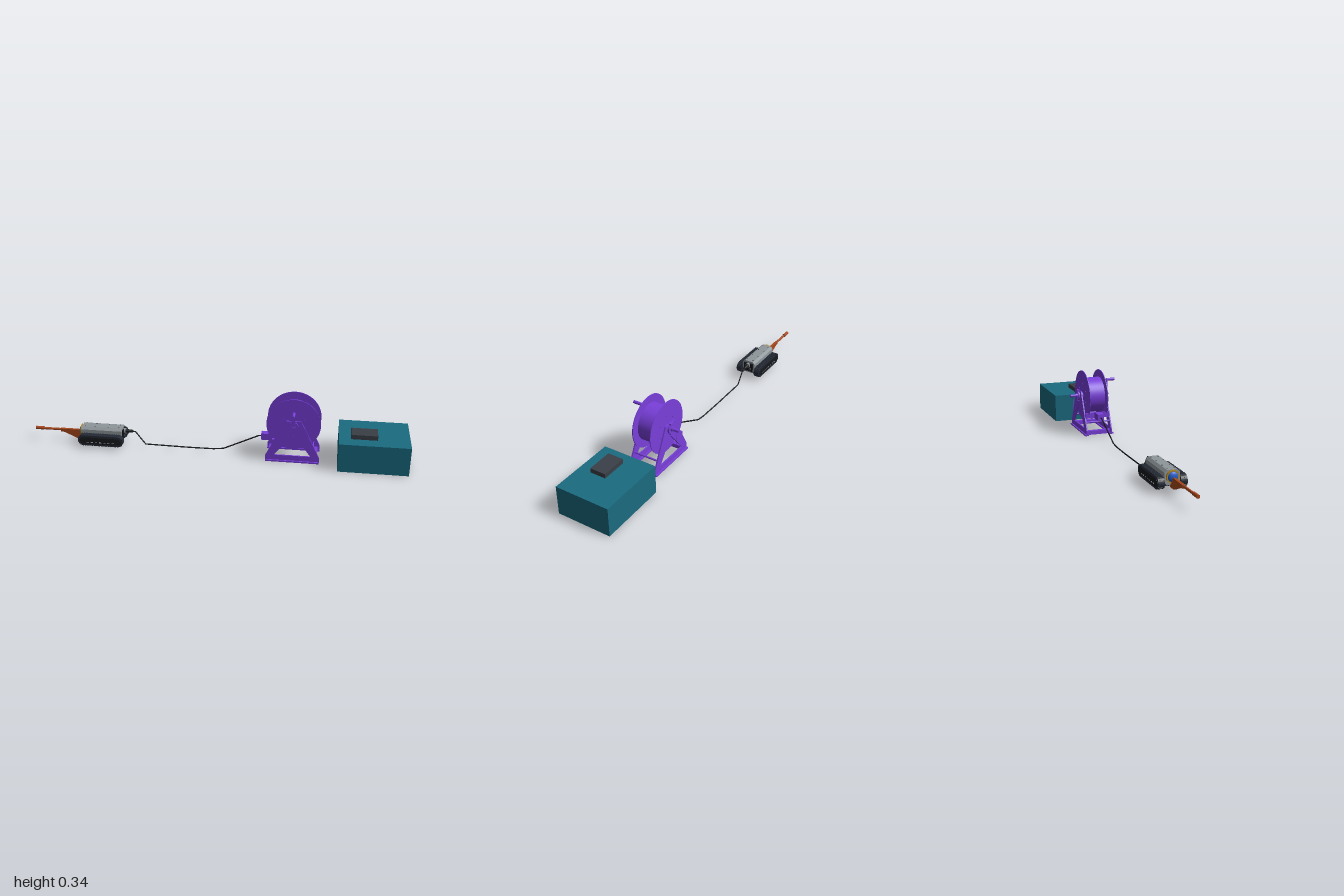
import * as THREE from 'three';

const mat = (color) => new THREE.MeshStandardMaterial({ color });
const M = {
  teal: mat(0x1a6b80), slate: mat(0x3a3f47), purple: mat(0x7a3fdc), steel: mat(0x8f979b),
  track: mat(0x252b36), black: mat(0x17191d), orange: mat(0xa8481c), gold: mat(0xb88a20),
  blue: mat(0x2460d0), grey: mat(0xcccccc),
};

function add(parent, name, geometry, material, x = 0, y = 0, z = 0) {
  const m = new THREE.Mesh(geometry, material);
  m.name = name;
  m.position.set(x, y, z);
  parent.add(m);
  return m;
}
function group(parent, name) {
  const g = new THREE.Group();
  g.name = name;
  parent.add(g);
  return g;
}
const box = (w, h, d) => new THREE.BoxGeometry(w, h, d);
const cylZ = (r, l, n = 32) => new THREE.CylinderGeometry(r, r, l, n).rotateX(Math.PI / 2);
const cylX = (r, l, n = 24, r2 = r) => new THREE.CylinderGeometry(r, r2, l, n).rotateZ(-Math.PI / 2);
const poly = (pts) => new THREE.Shape(pts.map(([x, y]) => new THREE.Vector2(x, y)));

// Extrusion centred on its own depth
function plate(shape, depth) {
  return new THREE.ExtrudeGeometry(shape, { depth, bevelEnabled: false, curveSegments: 16 })
    .translate(0, 0, -depth / 2);
}
function stadium(length, radius) {
  const h = length / 2 - radius, s = new THREE.Shape();
  s.moveTo(-h, -radius);
  s.lineTo(h, -radius);
  s.absarc(h, 0, radius, -Math.PI / 2, Math.PI / 2, false);
  s.lineTo(-h, radius);
  s.absarc(-h, 0, radius, Math.PI / 2, Math.PI * 1.5, false);
  return s;
}

function buildControlBox(root) {
  const g = group(root, 'controlStation');
  add(g, 'case', box(0.36, 0.156, 0.292), M.teal, 0.82, 0.078, 0);
  add(g, 'handController', box(0.135, 0.024, 0.084), M.slate, 0.768, 0.168, 0.036);
}

function buildReel(root) {
  const g = group(root, 'cableReel'), cx = 0.405, cy = 0.205, p = M.purple;
  add(g, 'drum', cylZ(0.098, 0.1, 64), p, cx, cy, 0);
  add(g, 'axle', cylZ(0.009, 0.2), p, cx, cy, 0);

  // A-shaped side plate with a triangular window
  const side = poly([[-0.14, 0], [0.14, 0], [0.14, 0.03], [0.04, 0.234], [-0.04, 0.234], [-0.14, 0.03]]);
  side.holes.push(poly([[-0.095, 0.036], [0, 0.16], [0.095, 0.036]]));

  for (const s of [1, -1]) {
    add(g, 'flange', cylZ(0.14, 0.004, 64), p, cx, cy, s * 0.051);
    add(g, 'sideFrame', plate(side, 0.007), p, cx, 0, s * 0.072);
    add(g, 'baseRail', box(0.28, 0.008, 0.022), p, cx, 0.004, s * 0.072);
    // Bearing with housing and collars
    add(g, 'bearingHousing', cylZ(0.026, 0.012), p, cx, cy, s * 0.078);
    add(g, 'bearingFoot', box(0.02, 0.064, 0.014), p, cx, cy, s * 0.078);
    add(g, 'innerCollar', cylZ(0.018, 0.008), p, cx, cy, s * 0.058);
    add(g, 'outerCollar', cylZ(0.012, 0.012), p, cx, cy, s * 0.088);
    for (let i = 0; i < 6; i++) {
      const a = Math.PI / 2 + i * Math.PI / 3;
      add(g, 'flangeBolt', cylZ(0.004, 0.004, 8), p,
        cx + 0.064 * Math.cos(a), cy + 0.064 * Math.sin(a), s * 0.054);
    }
  }
  // Cross members between the two side frames
  for (const s of [1, -1]) {
    add(g, 'baseCrossBar', box(0.022, 0.022, 0.144), p, cx + s * 0.118, 0.014, 0);
    add(g, 'legCrossBar', cylZ(0.005, 0.144, 12), p, cx + s * 0.105, 0.07, 0);
  }
  // Crank on the front, cable outlet on the back
  add(g, 'crankArm', plate(stadium(0.1, 0.009), 0.005).rotateZ(Math.PI / 2), p, cx, 0.243, 0.093);
  add(g, 'crankHub', cylZ(0.012, 0.008), p, cx, cy, 0.092);
  add(g, 'crankHandle', cylZ(0.008, 0.047), p, cx, 0.285, 0.1155);
  add(g, 'slipRing', cylZ(0.008, 0.04), p, cx, cy, -0.105);
  add(g, 'slipRingRod', new THREE.CylinderGeometry(0.0015, 0.0015, 0.08, 8), p, cx, 0.164, -0.11);

  // Cable guide in front of the drum
  add(g, 'cableGuide', box(0.06, 0.036, 0.034), p, 0.267, 0.107, 0);
  add(g, 'guideBracket', box(0.012, 0.03, 0.144), p, 0.303, 0.107, 0);
}

function buildCrawler(root) {
  const g = group(root, 'crawler');
  // Chamfered body, section swept along x
  const sec = poly([[-0.026, 0.034], [0.026, 0.034], [0.038, 0.05], [0.038, 0.094],
    [0.025, 0.106], [-0.025, 0.106], [-0.038, 0.094], [-0.038, 0.05]]);
  add(g, 'body', plate(sec, 0.222).rotateY(Math.PI / 2), M.steel, -0.622, 0, 0);
  add(g, 'belly', box(0.2, 0.014, 0.08), M.track, -0.622, 0.034, 0);
  add(g, 'rearCap', box(0.008, 0.05, 0.056), M.black, -0.508, 0.07, 0);
  for (const x of [-0.715, -0.66, -0.59, -0.53]) {
    for (const s of [1, -1]) {
      add(g, 'bodyScrew', new THREE.CylinderGeometry(0.003, 0.003, 0.002, 10), M.slate, x, 0.1065, s * 0.018);
    }
  }

  // Tracks with cleats, road wheels and side slots
  const len = 0.245, r = 0.029, h = len / 2 - r;
  for (const s of [1, -1]) {
    const t = group(g, 'track');
    t.position.set(-0.622, 0.046, s * 0.056);
    add(t, 'belt', plate(stadium(len, r), 0.032), M.track);
    add(t, 'sidePlate', plate(stadium(len - 0.02, r - 0.01), 0.035), M.black);
    const straight = 2 * h, arc = Math.PI * r, total = 2 * (straight + arc), n = 44;
    for (let i = 0; i < n; i++) {
      const d = (i / n) * total;
      let x, y, a;
      if (d < straight) { x = -h + d; y = r; a = 0; }
      else if (d < straight + arc) {
        a = -(d - straight) / r;
        x = h - r * Math.sin(a); y = r * Math.cos(a);
      } else if (d < 2 * straight + arc) { x = h - (d - straight - arc); y = -r; a = 0; }
      else {
        a = -(d - 2 * straight - arc) / r;
        x = -h + r * Math.sin(a); y = -r * Math.cos(a);
      }
      add(t, 'cleat', box(0.006, 0.003, 0.032), M.track, x, y, 0).rotation.z = a;
    }
    for (let i = 0; i < 7; i++) {
      add(t, 'sideSlot', box(0.012, 0.003, 0.001), M.grey, -0.069 + i * 0.023, -0.009, s * 0.018);
    }
  }

  // Front head: gold ring and blue dome
  add(g, 'headRing', cylX(0.031, 0.01, 40), M.gold, -0.737, 0.074, 0);
  const dome = add(g, 'headDome', new THREE.SphereGeometry(0.025, 32, 16), M.blue, -0.741, 0.074, 0);
  dome.scale.x = 0.45;

  // Forward wand with a tapered support arm
  add(g, 'wand', cylX(0.0065, 0.24), M.orange, -0.86, 0.068, 0);
  add(g, 'wandTip', cylX(0.009, 0.045), M.orange, -0.9775, 0.069, 0);
  const arm = poly([[-0.86, 0.058], [-0.84, 0.056], [-0.765, 0.022], [-0.725, 0.022],
    [-0.725, 0.044], [-0.76, 0.074], [-0.86, 0.074]]);
  add(g, 'wandArm', plate(arm, 0.014), M.orange);

  // Rear cable connector
  add(g, 'connectorCollar', cylX(0.014, 0.012), M.steel, -0.502, 0.083, 0);
  add(g, 'connector', cylX(0.007, 0.042, 24, 0.011), M.black, -0.48, 0.083, 0);
  for (const s of [1, -1]) add(g, 'rearSocket', cylX(0.007, 0.008), M.slate, -0.501, 0.06, s * 0.014);
}

function buildCable(root) {
  const pts = [[-0.47, 0.083], [-0.443, 0.081], [-0.39, 0.01], [-0.15, 0.007],
    [-0.02, 0.008], [0.035, 0.014], [0.225, 0.105], [0.31, 0.107]];
  const path = new THREE.CurvePath();
  for (let i = 1; i < pts.length; i++) {
    path.add(new THREE.LineCurve3(new THREE.Vector3(...pts[i - 1], 0), new THREE.Vector3(...pts[i], 0)));
  }
  add(root, 'cable', new THREE.TubeGeometry(path, 160, 0.0035, 10), M.black);
}

export function createModel() {
  const root = new THREE.Group();
  root.name = 'pipeInspectionSystem';
  buildControlBox(root);
  buildReel(root);
  buildCrawler(root);
  buildCable(root);
  return root;
}
